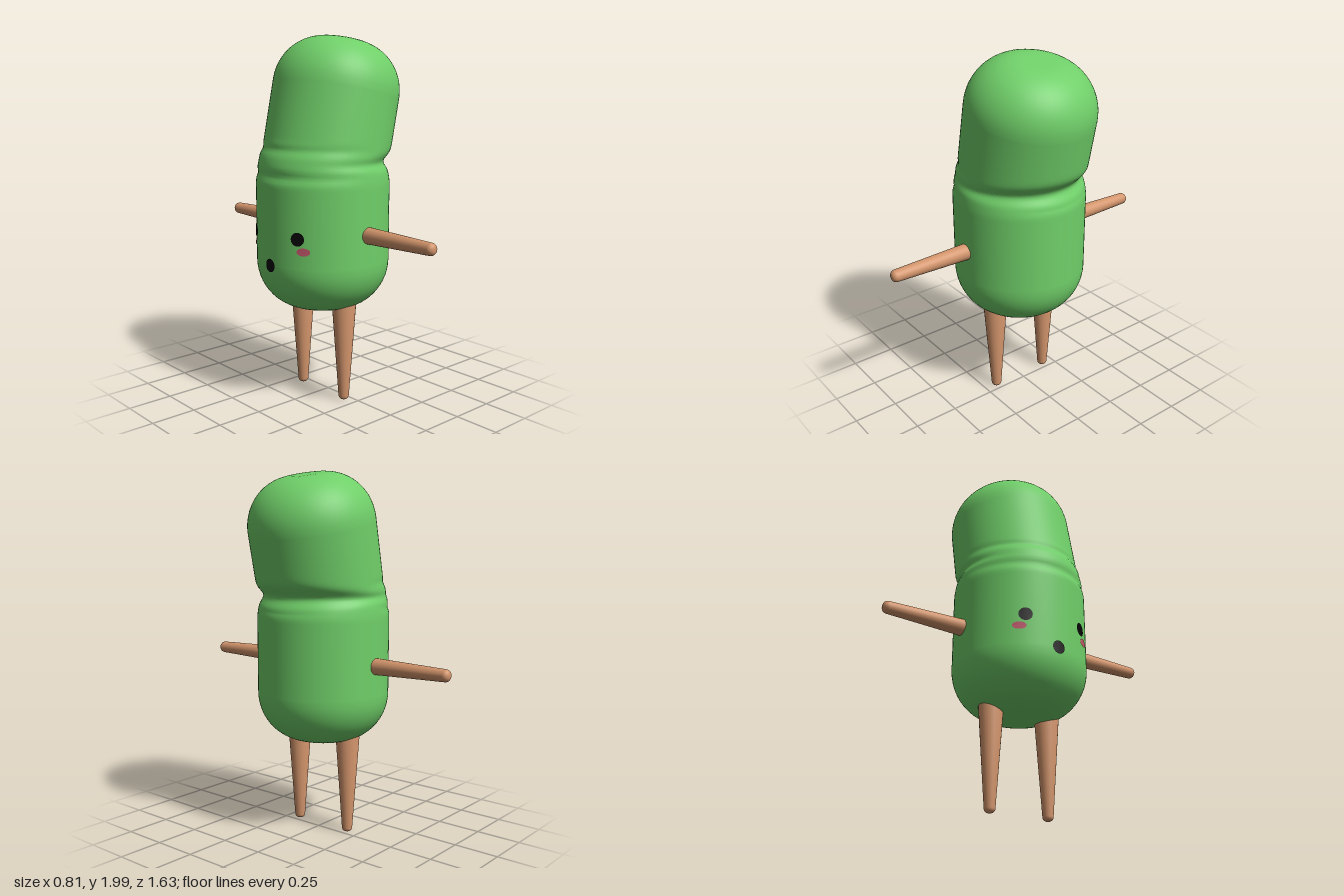
import * as THREE from 'three';
import { mergeVertices } from 'three/addons/utils/BufferGeometryUtils.js';

const AXIS_X = -0.04; // vertical axis of the lower body

const material = (name, color) => {
  const m = new THREE.MeshStandardMaterial({ color });
  m.name = name;
  return m;
};

// Lathe with merged seam so that normals stay smooth after reshaping
function smoothLathe(points, segments, reshape) {
  let geo = new THREE.LatheGeometry(points, segments);
  geo.deleteAttribute('uv');
  geo.deleteAttribute('normal');
  if (reshape) {
    const pos = geo.attributes.position;
    const p = new THREE.Vector3();
    for (let i = 0; i < pos.count; i++) {
      reshape(p.fromBufferAttribute(pos, i));
      pos.setXYZ(i, p.x, p.y, p.z);
    }
  }
  geo = mergeVertices(geo, 1e-5);
  geo.computeVertexNormals();
  return geo;
}

// Rounded capsule, bent at the waist, with folds pressed in around the bend
function bodyGeometry() {
  const bottom = 0.515, top = 1.985, hinge = 1.25, bend = THREE.MathUtils.degToRad(12);
  const lowR = 0.365, highR = 0.347, corner = 0.26, rise = 0.27, n = 14;
  const points = [new THREE.Vector2(0, bottom), new THREE.Vector2(0.05, bottom)];
  for (let i = 0; i <= n; i++) {
    const a = (i / n) * Math.PI / 2;
    points.push(new THREE.Vector2(lowR - corner + corner * Math.sin(a), bottom + rise * (1 - Math.cos(a))));
  }
  const y0 = bottom + rise, y1 = top - rise, rings = 90;
  for (let i = 1; i < rings; i++) {
    const y = y0 + (y1 - y0) * i / rings;
    points.push(new THREE.Vector2(lowR + (highR - lowR) * THREE.MathUtils.smoothstep(y, 1.2, 1.4), y));
  }
  for (let i = 0; i <= n; i++) {
    const a = (i / n) * Math.PI / 2;
    points.push(new THREE.Vector2(highR - corner + corner * Math.cos(a), y1 + rise * Math.sin(a)));
  }
  points.push(new THREE.Vector2(0.04, top), new THREE.Vector2(0, top));

  const bump = (d, width) => Math.exp(-(d * d) / (width * width));
  return smoothLathe(points, 72, (p) => {
    const r = Math.hypot(p.x, p.z);
    const side = r > 1e-4 ? p.x / r : 0; // +1 on the inner side of the bend, -1 on the outer
    const angle = bend * THREE.MathUtils.smoothstep(p.y, 1.2, 1.36);
    const h = p.y - hinge, x = p.x;
    p.x = x * Math.cos(angle) + h * Math.sin(angle);
    p.y = hinge + h * Math.cos(angle) - x * Math.sin(angle);
    const inner = Math.max(side, 0), outer = Math.max(-side, 0);
    const dent = (0.012 + 0.028 * inner) * (1 - outer) * bump(p.y - 1.325, 0.022 + 0.025 * inner)
      + 0.012 * outer * bump(p.y - 1.265, 0.025)
      + 0.009 * outer * bump(p.y - 1.4, 0.02);
    const k = r > 0.1 ? 1 - dent / r : 1;
    p.x = p.x * k + AXIS_X;
    p.z *= k;
  });
}

// Tapered stick along +y from the root to a rounded tip
function stickGeometry(length, rootR, tipR) {
  const points = [new THREE.Vector2(0, 0), new THREE.Vector2(rootR, 0)];
  const round = tipR * 0.8;
  for (let i = 0; i <= 6; i++) {
    const a = (i / 6) * Math.PI / 2;
    points.push(new THREE.Vector2(tipR - round + round * Math.cos(a), length - round + round * Math.sin(a)));
  }
  points.push(new THREE.Vector2(0, length));
  return smoothLathe(points, 24);
}

// Thin oval wrapped onto the face side (-x); angle is measured towards +z
function facePatch(angleDeg, y, halfWidth, halfHeight) {
  const R = 0.37;
  const geo = new THREE.CircleGeometry(1, 32);
  const pos = geo.attributes.position;
  for (let i = 0; i < pos.count; i++) {
    const a = THREE.MathUtils.degToRad(angleDeg) + pos.getX(i) * halfWidth / R;
    pos.setXYZ(i, AXIS_X - R * Math.cos(a), y + pos.getY(i) * halfHeight, R * Math.sin(a));
  }
  geo.computeVertexNormals();
  return geo;
}

export function createModel() {
  const model = new THREE.Group();
  model.name = 'stickLimbedCharacter';
  const green = material('leafGreen', 0x70cf69);
  const wood = material('woodTan', 0xd3956c);
  const black = material('black', 0x060606);
  const pink = material('blushPink', 0xc4586c);

  const add = (name, geometry, mat) => {
    const mesh = new THREE.Mesh(geometry, mat);
    mesh.name = name;
    model.add(mesh);
    return mesh;
  };

  add('body', bodyGeometry(), green);

  const legGeo = stickGeometry(0.6, 0.07, 0.029);
  const armGeo = stickGeometry(0.565, 0.048, 0.033);
  for (const s of [1, -1]) {
    const label = s > 0 ? 'Front' : 'Back';
    const leg = add('leg' + label, legGeo, wood);
    leg.rotation.x = Math.PI;
    leg.position.set(AXIS_X, 0.6, s * 0.175);

    const arm = add('arm' + label, armGeo, wood);
    arm.rotation.x = s * Math.PI / 2;
    arm.position.set(AXIS_X, 0.96, s * 0.25);

    add('eye' + label, facePatch(s * 28, 0.955, 0.037, 0.036), black);
    add('cheek' + label, facePatch(s * 33, 0.89, 0.037, 0.021), pink);
  }
  add('mouth', facePatch(0, 0.795, 0.036, 0.036), black);

  return model;
}
